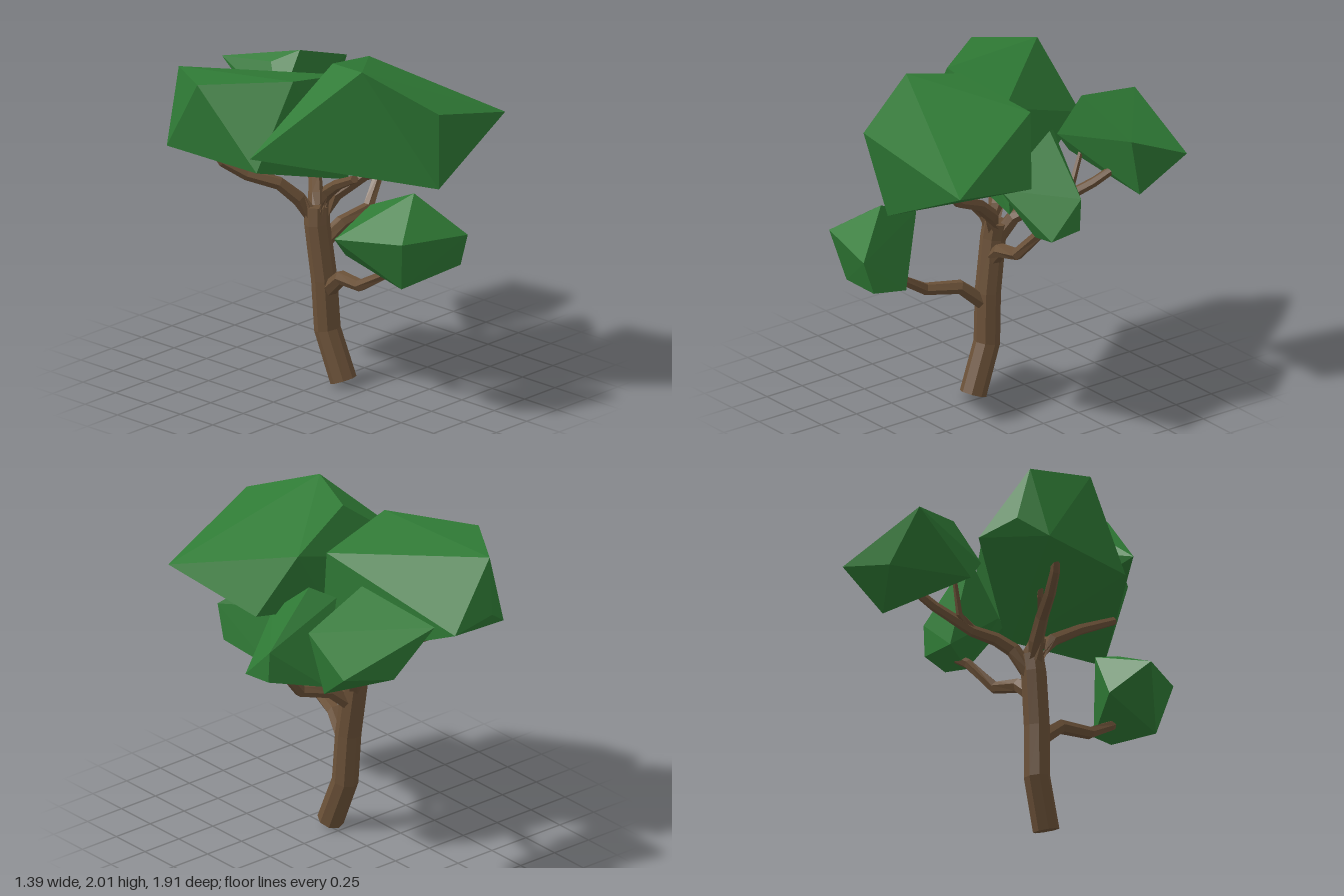
import * as THREE from 'three';
import { ConvexGeometry } from 'three/addons/geometries/ConvexGeometry.js';

const V = (p) => new THREE.Vector3(...p);
const bark = new THREE.MeshStandardMaterial({ color: 0x6b5138, flatShading: true });
const leaf = new THREE.MeshStandardMaterial({ color: 0x2f7a35, flatShading: true });

// Tapered limb: one ring of vertices at each path point, closed at both ends
function limb(name, path, r0, r1, sides = 6) {
  const pts = path.map(V), n = pts.length, pos = [], idx = [];
  pts.forEach((p, i) => {
    const dir = pts[Math.min(i + 1, n - 1)].clone().sub(pts[Math.max(i - 1, 0)]).normalize();
    const ref = Math.abs(dir.y) > 0.8 ? V([0, 0, 1]) : V([0, 1, 0]);
    const u = ref.cross(dir).normalize(), w = dir.clone().cross(u);
    const r = THREE.MathUtils.lerp(r0, r1, i / (n - 1));
    for (let k = 0; k < sides; k++) {
      const a = (k / sides) * Math.PI * 2;
      const q = p.clone().addScaledVector(u, r * Math.cos(a)).addScaledVector(w, r * Math.sin(a));
      pos.push(q.x, q.y, q.z);
    }
  });
  for (let i = 0; i < n - 1; i++) {
    for (let k = 0; k < sides; k++) {
      const a = i * sides + k, b = i * sides + (k + 1) % sides;
      idx.push(a, b, b + sides, a, b + sides, a + sides);
    }
  }
  const top = (n - 1) * sides;
  for (let k = 1; k < sides - 1; k++) idx.push(0, k + 1, k, top, top + k, top + k + 1);
  const geo = new THREE.BufferGeometry();
  geo.setAttribute('position', new THREE.Float32BufferAttribute(pos, 3));
  geo.setIndex(idx);
  geo.computeVertexNormals();
  const mesh = new THREE.Mesh(geo, bark);
  mesh.name = name;
  return mesh;
}

// Faceted leaf mass wrapped around its corner points
function clump(name, corners) {
  const mesh = new THREE.Mesh(new ConvexGeometry(corners.map(V)), leaf);
  mesh.name = name;
  return mesh;
}

export function createModel() {
  const tree = new THREE.Group();
  tree.name = 'tree';

  // Leaning trunk
  tree.add(limb('trunk', [[-0.025, 0.015, 0.095], [-0.04, 0.3, -0.015], [-0.05, 0.6, -0.03],
    [-0.06, 0.92, -0.075], [-0.05, 1.02, -0.085]], 0.077, 0.072, 8));

  // Branches, each reaching into a leaf mass
  const branches = {
    frontBranch: [[-0.05, 0.54, 0], [-0.09, 0.66, 0.14], [-0.15, 0.68, 0.34], [-0.15, 0.8, 0.54], [-0.1, 0.87, 0.66]],
    leftBranch: [[-0.04, 0.8, -0.06], [0.08, 0.9, -0.02], [0.27, 0.95, 0.01], [0.42, 1.12, -0.04], [0.55, 1.2, -0.08]],
    backBranch: [[-0.05, 0.9, -0.09], [0.02, 1.05, -0.16], [0.09, 1.11, -0.23], [0.17, 1.14, -0.34], [0.33, 1.28, -0.49], [0.45, 1.42, -0.62]],
    rightBranch: [[-0.06, 0.92, -0.07], [-0.13, 1.07, -0.15], [-0.22, 1.17, -0.22], [-0.36, 1.23, -0.34], [-0.46, 1.31, -0.43], [-0.5, 1.4, -0.48]],
    crownBranchLeft: [[-0.05, 0.92, -0.08], [0.02, 1.1, 0], [0.1, 1.23, 0.15], [0.15, 1.31, 0.33], [0.18, 1.42, 0.44]],
    crownBranchRight: [[-0.06, 0.92, -0.08], [-0.1, 1.16, 0.05], [-0.18, 1.26, 0.2], [-0.27, 1.37, 0.41]],
  };
  for (const [name, path] of Object.entries(branches)) tree.add(limb(name, path, 0.048, 0.024));

  // Thin side twigs
  const twigs = {
    backTwig: [[0.17, 1.15, -0.34], [0.2, 1.22, -0.43], [0.17, 1.4, -0.52]],
    rightTwig: [[-0.21, 1.16, -0.21], [-0.27, 1.25, -0.31], [-0.33, 1.38, -0.37]],
  };
  for (const [name, path] of Object.entries(twigs)) tree.add(limb(name, path, 0.025, 0.014, 5));

  // Crown: main mass with a forward wedge that leaves a hollow on its right
  const peak = [-0.22, 2, 0.42], frontLow = [0.05, 1.31, 0.76], frontSide = [0.65, 1.6, 0.71];
  tree.add(
    clump('crownFoliage', [peak, frontLow, frontSide, [-0.695, 1.5, 0], [0.33, 1.83, -0.04],
      [-0.13, 1.95, 0.11], [0.52, 1.46, 0.1], [0, 1.36, 0.08]]),
    clump('crownWedge', [peak, frontLow, frontSide, [-0.05, 1.81, 0.855]]),
  );

  // Outer leaf masses
  tree.add(
    clump('backFoliage', [[0.1, 1.66, -0.96], [0.695, 1.48, -0.87], [0.65, 1.63, -0.51], [0.23, 1.78, -0.48],
      [0.12, 1.71, -0.6], [0.03, 1.48, -0.46], [0.05, 1.37, -0.53], [0.61, 1.27, -0.6], [0.35, 1.39, -0.9]]),
    clump('leftFoliage', [[0.35, 1.69, -0.16], [0.24, 1.63, -0.27], [0.35, 1.12, -0.31], [0.64, 1.37, -0.16],
      [0.64, 1.18, -0.15], [0.64, 1.16, 0.05], [0.49, 1.14, 0.05], [0.33, 1.41, 0.18], [0.2, 1.34, -0.05]]),
    clump('rightFoliage', [[-0.36, 1.88, 0.02], [0.11, 1.78, -0.03], [-0.69, 1.84, -0.41], [-0.5, 1.82, -0.73],
      [-0.46, 1.5, -0.8], [-0.19, 1.45, -0.795], [-0.62, 1.38, -0.71], [-0.64, 1.4, 0], [0.15, 1.14, -0.03]]),
    clump('frontFoliage', [[-0.09, 1.31, 0.7], [-0.49, 1.08, 0.46], [-0.36, 1.11, 0.86], [0.08, 1.08, 0.955],
      [-0.29, 0.81, 0.79], [0.09, 0.88, 0.89], [0, 0.79, 0.59], [-0.28, 0.9, 0.35], [-0.14, 1.18, 0.41]]),
  );
  return tree;
}
